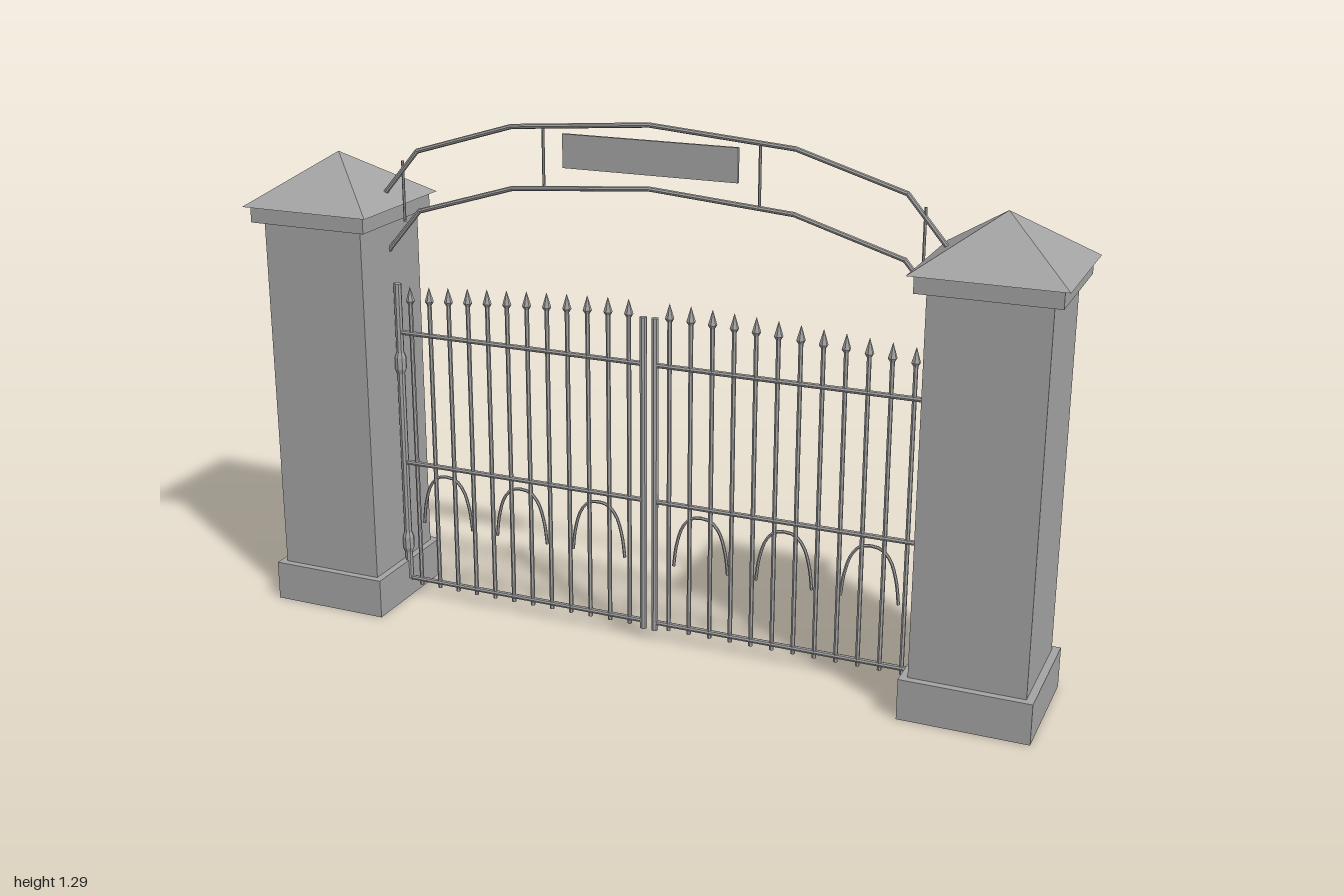
import * as THREE from 'three';

const grey = new THREE.MeshStandardMaterial({ color: 0xa3a3a3 });
grey.name = 'grey';
grey.flatShading = true;

function add(parent, name, geometry, x = 0, y = 0, z = 0) {
  const mesh = new THREE.Mesh(geometry, grey);
  mesh.name = name;
  mesh.position.set(x, y, z);
  parent.add(mesh);
  return mesh;
}

const square = (Type, h) => new Type([
  new THREE.Vector2(-h, -h), new THREE.Vector2(h, -h),
  new THREE.Vector2(h, h), new THREE.Vector2(-h, h),
]);

// Straight round bar between two points in the gate plane
function bar(parent, name, x1, y1, x2, y2, radius, sides = 8) {
  const dx = x2 - x1, dy = y2 - y1;
  const geometry = new THREE.CylinderGeometry(radius, radius, Math.hypot(dx, dy), sides);
  const mesh = add(parent, name, geometry, (x1 + x2) / 2, (y1 + y2) / 2);
  mesh.rotation.z = Math.atan2(-dx, dy);
  return mesh;
}

// Square pier with hollow plinth, shaft, slab and pyramid roof
function createPillar(side) {
  const pillar = new THREE.Group();
  pillar.name = side > 0 ? 'leftPillar' : 'rightPillar';
  pillar.position.x = side * 0.828;
  const ring = square(THREE.Shape, 0.153);
  ring.holes.push(square(THREE.Path, 0.11));
  const plinth = new THREE.ExtrudeGeometry(ring, { depth: 0.1, bevelEnabled: false });
  plinth.rotateX(-Math.PI / 2);
  add(pillar, 'plinth', plinth);
  add(pillar, 'shaft', new THREE.BoxGeometry(0.27, 0.9, 0.27), 0, 0.55);
  add(pillar, 'capSlab', new THREE.BoxGeometry(0.316, 0.04, 0.316), 0, 1.02);
  const roof = new THREE.ConeGeometry(0.172 * Math.SQRT2, 0.12, 4);
  roof.rotateY(Math.PI / 4);
  add(pillar, 'roof', roof, 0, 1.1);
  return pillar;
}

// One leaf of the gate, hinged at its outer end
function createLeaf(side) {
  const leaf = new THREE.Group();
  leaf.name = side > 0 ? 'leftLeaf' : 'rightLeaf';

  bar(leaf, 'hingePost', side * 0.678, 0.05, side * 0.678, 0.84, 0.01);
  bar(leaf, 'meetingStile', side * 0.015, 0.03, side * 0.015, 0.83, 0.009);
  for (const y of [0.05, 0.37, 0.715]) {
    bar(leaf, 'rail', side * 0.67, y, side * 0.015, y, 0.0065);
  }

  // Hinge knuckles, swollen in the middle
  const knuckle = [[0, -0.028], [0.01, -0.028], [0.015, -0.015], [0.015, 0.015], [0.01, 0.028], [0, 0.028]]
    .map(([r, y]) => new THREE.Vector2(r, y));
  for (const y of [0.15, 0.635]) {
    add(leaf, 'hinge', new THREE.LatheGeometry(knuckle, 8), side * 0.678, y);
  }

  // Pickets rise gently towards the middle
  const spear = [[0, -0.02], [0.006, -0.02], [0.011, -0.012], [0, 0.025]]
    .map(([r, y]) => new THREE.Vector2(r, y));
  for (let i = 0; i < 12; i++) {
    const x = side * (0.052 + i * 0.0537);
    const top = 0.87 - 0.034 * (i / 11) ** 1.4;
    bar(leaf, 'picket', x, 0.035, x, top - 0.04, 0.0055, 6);
    add(leaf, 'spearhead', new THREE.LatheGeometry(spear, 6), x, top - 0.025);
  }

  // Small hoops under the middle rail
  const hoop = [[-0.07, 0.21], [-0.063, 0.265], [-0.046, 0.318], [-0.022, 0.342],
    [0.022, 0.342], [0.046, 0.318], [0.063, 0.265], [0.07, 0.21]]
    .map(([x, y]) => new THREE.Vector3(x, y, 0));
  for (const x of [0.135, 0.347, 0.558]) {
    const path = new THREE.CatmullRomCurve3(hoop);
    add(leaf, 'hoop', new THREE.TubeGeometry(path, 20, 0.004, 6), side * x);
  }
  return leaf;
}

// Overhead arch: two bent rails, uprights and a plain sign board
function createArch() {
  const arch = new THREE.Group();
  arch.name = 'arch';
  const half = [[0.7, 1.067], [0.607, 1.176], [0.35, 1.254], [0, 1.282]];
  for (const drop of [0, 0.147]) {
    for (const side of [-1, 1]) {
      for (let i = 0; i < 3; i++) {
        const [a, b] = [half[i], half[i + 1]];
        bar(arch, 'archRail', side * a[0], a[1] - drop, side * b[0], b[1] - drop, 0.006);
        add(arch, 'archJoint', new THREE.SphereGeometry(0.006, 8, 6), side * b[0], b[1] - drop);
      }
    }
  }
  for (const side of [-1, 1]) {
    bar(arch, 'upright', side * 0.648, 1.0, side * 0.648, 1.15, 0.0035, 6);
    bar(arch, 'upright', side * 0.268, 1.115, side * 0.268, 1.26, 0.0035, 6);
  }
  add(arch, 'signBoard', new THREE.BoxGeometry(0.434, 0.08, 0.008), 0, 1.207);
  return arch;
}

export function createModel() {
  const model = new THREE.Group();
  model.name = 'gateway';
  for (const side of [-1, 1]) {
    model.add(createPillar(side), createLeaf(side));
  }
  model.add(createArch());
  return model;
}
